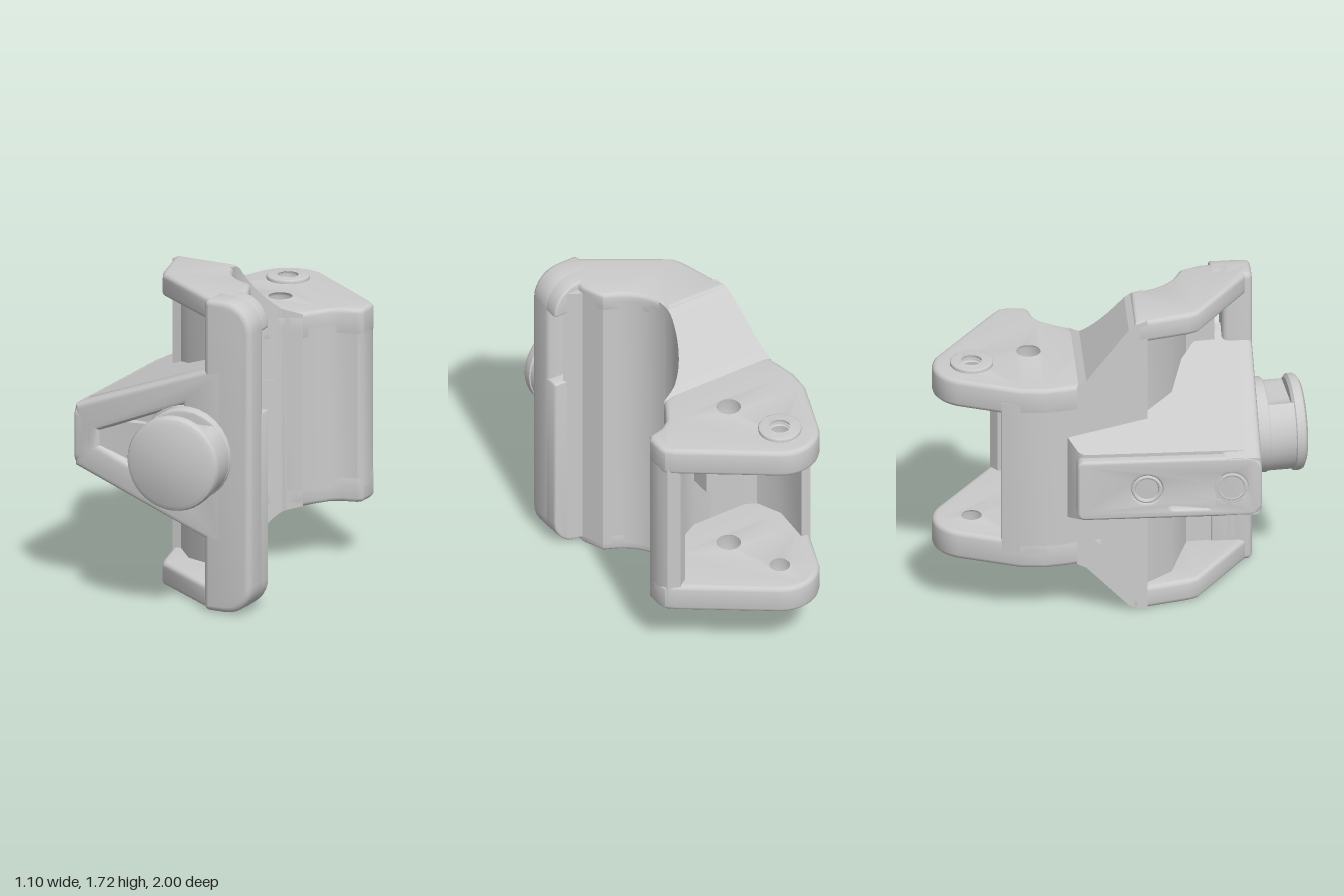
import * as THREE from 'three';
import { toCreasedNormals } from 'three/addons/utils/BufferGeometryUtils.js';

const MID = 0.865; // height of the mirror plane
const material = new THREE.MeshStandardMaterial({ color: 0xcccccc, side: THREE.DoubleSide });

function add(parent, name, geometry, crease = 0.6) {
  const mesh = new THREE.Mesh(toCreasedNormals(geometry, crease), material);
  mesh.name = name;
  parent.add(mesh);
  return mesh;
}

const arc = (cx, cy, r, a0, a1, n = 16) => Array.from({ length: n + 1 }, (_, i) => {
  const a = a0 + (a1 - a0) * i / n;
  return [cx + r * Math.cos(a), cy + r * Math.sin(a)];
});
const circle = (cx, cy, r) => arc(cx, cy, r, 0, Math.PI * 2, 28).slice(0, -1);

// rounded rectangle with its own radius at each corner (right-top, left-top, left-bottom, right-bottom)
function roundRect(x0, y0, x1, y1, [a, b, c, d]) {
  const q = Math.PI / 2;
  return [...arc(x1 - a, y1 - a, a, 0, q, 8), ...arc(x0 + b, y1 - b, b, q, 2 * q, 8),
    ...arc(x0 + c, y0 + c, c, 2 * q, 3 * q, 8), ...arc(x1 - d, y0 + d, d, 3 * q, 4 * q, 8)];
}

// outline in x,y pushed along z
function extrude(points, z0, z1, holes = [], bevel = 0) {
  const shape = new THREE.Shape(points.map(p => new THREE.Vector2(...p)));
  shape.holes = holes.map(h => new THREE.Path(h.map(p => new THREE.Vector2(...p))));
  const geo = new THREE.ExtrudeGeometry(shape, {
    depth: z1 - z0 - 2 * bevel, bevelEnabled: bevel > 0, bevelSize: bevel,
    bevelThickness: bevel, bevelOffset: -bevel, bevelSegments: 3,
  });
  return geo.translate(0, 0, z0 + bevel);
}

// outline in x,z pushed up along y
function extrudeUp(points, y0, y1, holes = [], bevel = 0) {
  const flip = list => list.map(([x, z]) => [x, -z]);
  return extrude(flip(points), y0, y1, holes.map(flip), bevel).rotateX(-Math.PI / 2);
}

// extrude up, then set the half height from a rule of x and z
function extrudeTapered(points, half) {
  const geo = extrudeUp(points, -1, 1);
  const p = geo.attributes.position;
  for (let i = 0; i < p.count; i++) p.setY(i, MID + p.getY(i) * half(p.getX(i), p.getZ(i)));
  return geo;
}

// part of an x,z outline between two z values
function clip(points, z0, z1) {
  for (const [limit, sign] of [[z0, 1], [z1, -1]]) {
    const out = [];
    points.forEach((a, i) => {
      const b = points[(i + 1) % points.length];
      const da = (a[1] - limit) * sign, db = (b[1] - limit) * sign;
      if (da >= 0) out.push(a);
      if (da * db < 0) out.push([a[0] + (b[0] - a[0]) * da / (da - db), limit]);
    });
    points = out;
  }
  return points;
}

export function createModel() {
  const model = new THREE.Group();
  model.name = 'clampBracket';

  // plan outline: hinge tip, rear jaw, round groove, front jaw, slanted left side
  const groove = arc(0.375, 0.045, 0.295, -1.82, -Math.PI * 2 + 1.82, 22);
  const outline = [
    ...arc(-0.07, -0.79, 0.21, -2.75, -0.95, 14),
    [0.5, -0.645], [0.54, -0.61], [0.55, -0.57], [0.55, -0.48], [0.53, -0.45], [0.45, -0.43],
    [0.39, -0.39], [0.34, -0.31], [0.31, -0.25],
    ...groove.filter(p => p[1] > -0.23 && p[1] < 0.32),
    [0.31, 0.34], [0.36, 0.46], [0.36, 0.715], [0.28, 0.715], [-0.18, 0.41], [-0.21, 0.35],
    [-0.27, 0.13], [-0.38, -0.3], [-0.4, -0.42], [-0.39, -0.55],
  ];

  // centre of the body, swelling from rear height to front height
  const steps = [[-0.25, 0.53], [-0.2, 0.56], [0.03, 0.825], [0.07, 0.85], [0.13, 0.86]];
  const centre = new THREE.Group();
  centre.name = 'bodyCentre';
  model.add(centre);
  for (let i = 0; i < steps.length - 1; i++) {
    const [z0, h0] = steps[i], [z1, h1] = steps[i + 1];
    add(centre, 'bodyBand' + (i + 1), extrudeTapered(clip(outline, z0, z1),
      (x, z) => h0 + (h1 - h0) * (z - z0) / (z1 - z0)));
  }

  // rear pocket walls and the two hinge ears
  add(model, 'rearPocketWall', extrudeUp([
    [0.47, -0.655], [0.53, -0.62], [0.55, -0.57], [0.55, -0.48], [0.53, -0.45], [0.45, -0.43],
    [0.39, -0.39], [0.34, -0.31], [0.31, -0.25], [0.1, -0.15], [-0.34, -0.15], [-0.38, -0.3],
    [-0.4, -0.42], [-0.39, -0.55], [-0.355, -0.65], [-0.3, -0.65], [-0.32, -0.42], [-0.26, -0.28], [-0.2, -0.25],
    [0.12, -0.25], [0.25, -0.32], [0.4, -0.5], [0.42, -0.62]], 0.42, 1.31));
  add(model, 'pocketLug', new THREE.BoxGeometry(0.12, 0.16, 0.14).translate(0.06, MID, -0.3));
  const earShape = clip(outline, -1.1, -0.12);
  const earHoles = [circle(-0.07, -0.79, 0.08), circle(0.05, -0.48, 0.09)];
  for (const [side, y0, y1, b0, b1] of [['upper', 1.24, 1.4, 1.38, 1.42], ['lower', 0.33, 0.49, 0.31, 0.35]]) {
    add(model, side + 'HingeEar', extrudeUp(earShape, y0, y1, earHoles, 0.025));
    add(model, side + 'HingeBoss', extrudeUp(circle(-0.07, -0.79, 0.115), b0, b1,
      [circle(-0.07, -0.79, 0.063)], 0.008));
  }

  // front wall behind the pockets, with flanges above and below
  add(model, 'frontWall', extrudeUp([
    [-0.28, 0.06], [-0.1, 0.27], [0.23, 0.37], [0.24, 0.52], [0.45, 0.51], [0.36, 0.46], [0.31, 0.34],
    ...groove.filter(p => p[1] > 0.08 && p[1] < 0.32).reverse()], 0.05, 1.68));
  const flange = clip(outline, 0.06, 1);
  add(model, 'upperFlange', extrudeUp(flange, 1.6, 1.725, [], 0.025));
  add(model, 'lowerFlange', extrudeUp(flange, 0.005, 0.13, [], 0.025));

  // front jaw rail with a slot behind its upper half
  add(model, 'jawRail', extrude(roundRect(0.23, 0.005, 0.51, 1.725, [0.16, 0.03, 0.03, 0.16]), 0.56, 0.72, [], 0.03));
  add(model, 'jawRailLowerBack', extrude(
    roundRect(0.23, 0.005, 0.508, 1.1, [0.01, 0.01, 0.03, 0.16]), 0.5, 0.64, [], 0.012));
  add(model, 'jawRailUpperBack', extrude(
    roundRect(0.23, 1.55, 0.508, 1.725, [0.16, 0.03, 0.01, 0.01]), 0.5, 0.64, [], 0.012));

  // wedge arm reaching to the left mounting plate
  const armHalf = x => 0.175 + 0.37 * (x + 0.55);
  add(model, 'mountArm', extrudeTapered([[-0.5, -0.22], [-0.48, -0.25], [-0.36, -0.31], [-0.1, 0.2], [0.22, 0.4],
    [0.3, 0.5], [0.3, 0.62], [-0.5, 0.62]], armHalf));
  const v = (x, h) => [[x, MID - h], [x, MID + h]];
  const [rb, rt] = v(0.35, armHalf(0.35)), [lb, lt] = v(-0.548, 0.17);
  const [hrb, hrt] = v(0.1, 0.25), [hlb, hlt] = v(-0.4, 0.04);
  add(model, 'armRibs', extrude([rb, rt, lt, lb], 0.5, 0.72, [[hrb, hrt, hlt, hlb]], 0.035));
  // sloped floor between the ribs
  add(model, 'armWeb', extrudeUp([[-0.47, 0.55], [0.2, 0.55], [0.2, 0.65], [-0.1, 0.65], [-0.47, 0.71]], MID - 0.1, MID + 0.1));
  // raised collar around the foot of the knob
  add(model, 'knobCollar', new THREE.CylinderGeometry(0.25, 0.29, 0.14, 36).rotateX(Math.PI / 2).translate(0.12, MID, 0.65));

  // mounting plate on the left-hand face: two bolt holes and a square window
  const holesZ = [0.11, 0.56];
  const plate = extrude(roundRect(-0.26, MID - 0.175, 0.72, MID + 0.175, [0.07, 0.04, 0.04, 0.07]), 0.45, 0.55,
    [...holesZ.map(z => circle(z, MID, 0.08)), roundRect(0.23, MID - 0.125, 0.46, MID + 0.125, [0.03, 0.03, 0.03, 0.03])], 0.015);
  add(model, 'mountPlate', plate.rotateY(-Math.PI / 2));
  for (const z of holesZ) {
    const ring = add(model, 'boltRing', new THREE.TorusGeometry(0.072, 0.012, 8, 28));
    ring.rotation.y = Math.PI / 2;
    ring.position.set(-0.54, MID, z);
  }

  // thin pad lining the groove
  const padArc = r => arc(0.375, 0.045, r, Math.PI + 0.16, Math.PI + 0.82, 8);
  add(model, 'groovePad', extrudeUp([...padArc(0.29), ...padArc(0.31).reverse()], 0.7, 1.04));

  // tilted front knob: base, waist flattened above and below, round head
  const knob = new THREE.Group();
  knob.name = 'knob';
  knob.position.set(0.14, MID, 0.7);
  knob.rotation.y = 0.11;
  model.add(knob);
  add(knob, 'knobBase', extrude(circle(0, 0, 0.255), -0.06, 0.08, [], 0.015));
  const waist = circle(0, 0, 0.252).map(([x, y]) => [x, x > -0.13 ? THREE.MathUtils.clamp(y, -0.18, 0.18) : y]);
  add(knob, 'knobWaist', extrude(waist, 0.05, 0.24));
  const head = [[0, 0.2], [0.24, 0.2], [0.258, 0.215], [0.258, 0.245], [0.25, 0.262], [0.225, 0.275], [0, 0.275]];
  add(knob, 'knobHead', new THREE.LatheGeometry(head.map(p => new THREE.Vector2(...p)), 40).rotateX(Math.PI / 2));
  return model;
}
